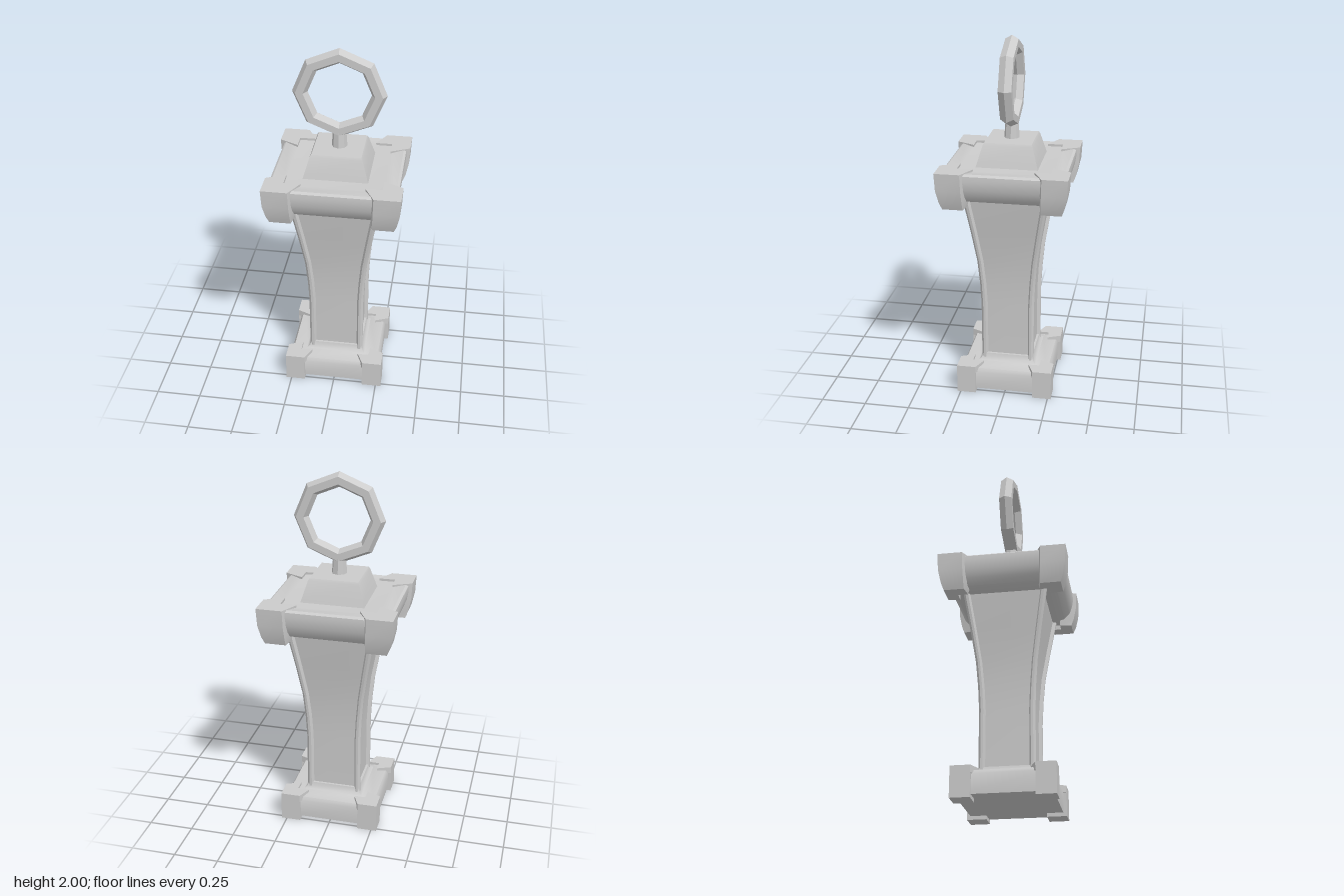
import * as THREE from 'three';
import { toCreasedNormals } from 'three/addons/utils/BufferGeometryUtils.js';

const DEPTH = 0.96; // the plan is slightly shallower than wide
const material = new THREE.MeshStandardMaterial({ color: 0xcccccc });
const flatMaterial = new THREE.MeshStandardMaterial({ color: 0xcccccc, flatShading: true });

function add(group, name, geometry, mat = material) {
  const mesh = new THREE.Mesh(geometry, mat);
  mesh.name = name;
  group.add(mesh);
  return mesh;
}

// Closed solid through stacked plan outlines: levels = [{ y, pts: [[x, z], ...] }]
function loft(levels, crease = 0.75) {
  const n = levels[0].pts.length;
  const pos = [];
  const index = [];
  for (const { y, pts } of levels) for (const [x, z] of pts) pos.push(x, y, z * DEPTH);
  for (let k = 0; k < levels.length - 1; k++) {
    for (let i = 0; i < n; i++) {
      const a = k * n + i;
      const b = k * n + (i + 1) % n;
      index.push(a, a + n, b, b, a + n, b + n);
    }
  }
  const cap = (level) => THREE.ShapeUtils.triangulateShape(
    level.pts.map(([x, z]) => new THREE.Vector2(x, z)), []);
  const top = (levels.length - 1) * n;
  for (const [a, b, c] of cap(levels[0])) index.push(a, b, c);
  for (const [a, b, c] of cap(levels[levels.length - 1])) index.push(top + a, top + c, top + b);
  const geometry = new THREE.BufferGeometry();
  geometry.setAttribute('position', new THREE.Float32BufferAttribute(pos, 3));
  geometry.setIndex(index);
  return toCreasedNormals(geometry, crease);
}

// Square tiers from a profile of [half width, y]
const square = (h) => [[h, -h], [h, h], [-h, h], [-h, -h]];
const tiers = (profile) => loft(profile.map(([h, y]) => ({ y, pts: square(h) })));

// Column plan: raised corner posts with recessed panels between them
function columnPlan(h, p) {
  const d = 0.02, c = 0.012;
  const quarter = [[h - d, p], [h, p + 0.01], [h, h - c], [h - c, h], [p + 0.01, h], [p, h - d]];
  const pts = [];
  for (let q = 0; q < 4; q++) {
    for (const [x, z] of quarter) {
      pts.push([[x, z], [-z, x], [-x, -z], [z, -x]][q]);
    }
  }
  return pts;
}

// Bracket plan: outer corner o, arm start a, arm tip t, inner corner i
const bracketPlan = (o, a, t, i) => [[o, a], [o, o], [a, o], [t, i], [i, i], [i, t]];

// Repeats a plan loft in all four corners, keeping the winding outward
function corners(group, name, levels) {
  for (const sx of [1, -1]) {
    for (const sz of [1, -1]) {
      const mirrored = levels.map(({ y, pts }) => {
        const m = pts.map(([x, z]) => [x * sx, z * sz]);
        return { y, pts: sx * sz < 0 ? m.reverse() : m };
      });
      add(group, name + (sz > 0 ? 'Front' : 'Back') + (sx > 0 ? 'Left' : 'Right'), loft(mirrored));
    }
  }
}

export function createModel() {
  const model = new THREE.Group();
  model.name = 'ornamentalPost';

  // Base slab, its corner feet and their top plates
  add(model, 'base', tiers([[0.26, 0.02], [0.262, 0.125], [0.25, 0.145], [0.17, 0.152], [0.155, 0.165], [0.148, 0.19]]));
  const foot = [[0.17, 0.17], [0.28, 0.17], [0.28, 0.28], [0.17, 0.28]];
  corners(model, 'foot', [{ y: 0, pts: foot }, { y: 0.15, pts: foot }]);
  const plate = bracketPlan(0.28, 0.17, 0.135, 0.2);
  corners(model, 'footPlate', [{ y: 0.125, pts: plate }, { y: 0.165, pts: plate }]);

  // Flared column: [y, half width, panel half width]
  const column = [
    [0.15, 0.155, 0.12], [0.5, 0.156, 0.12], [0.63, 0.162, 0.127], [0.77, 0.174, 0.14],
    [0.95, 0.203, 0.168], [1.13, 0.235, 0.198], [1.2, 0.245, 0.208],
  ];
  add(model, 'column', loft(column.map(([y, h, p]) => ({ y, pts: columnPlan(h, p) }))));

  // Rounded cornice
  add(model, 'cornice', tiers([
    [0.2, 1.15], [0.25, 1.153], [0.29, 1.167], [0.32, 1.2], [0.337, 1.245],
    [0.345, 1.29], [0.343, 1.322], [0.33, 1.332], [0.26, 1.324], [0.17, 1.32],
  ]));

  // Cornice brackets, tapering downward
  corners(model, 'bracket', [
    { y: 1.13, pts: bracketPlan(0.33, 0.215, 0.205, 0.262) },
    { y: 1.17, pts: bracketPlan(0.345, 0.217, 0.195, 0.262) },
    { y: 1.24, pts: bracketPlan(0.36, 0.22, 0.18, 0.261) },
    { y: 1.337, pts: bracketPlan(0.365, 0.223, 0.17, 0.26) },
  ]);

  // Raised block, stem and ring on top
  add(model, 'topBlock', tiers([[0.178, 1.31], [0.17, 1.335], [0.14, 1.435], [0.133, 1.447]]));
  const stem = add(model, 'stem', new THREE.CylinderGeometry(0.036, 0.043, 0.1, 8), flatMaterial);
  stem.position.y = 1.485;
  const ring = add(model, 'ring', new THREE.TorusGeometry(0.209, 0.041, 6, 8), flatMaterial);
  ring.position.y = 1.75;

  return model;
}
